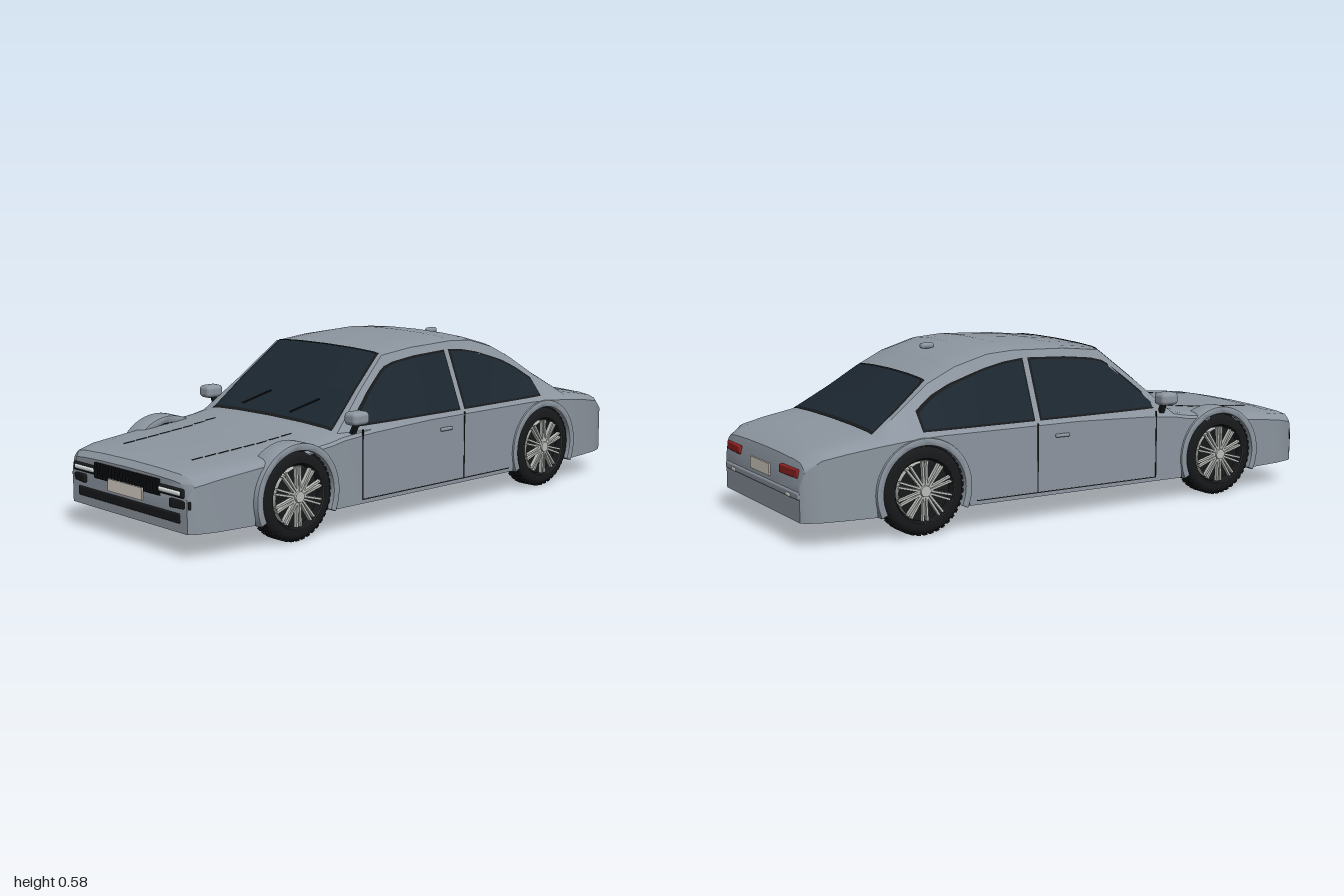
import * as THREE from 'three';
import { toCreasedNormals } from 'three/addons/utils/BufferGeometryUtils.js';
import { RoundedBoxGeometry } from 'three/addons/geometries/RoundedBoxGeometry.js';
import { ParametricGeometry } from 'three/addons/geometries/ParametricGeometry.js';

const mat = (color, side = THREE.FrontSide) => new THREE.MeshStandardMaterial({ color, side });
const paint = mat(0x8c959f), black = mat(0x17191b), glass = mat(0x1c2730, THREE.DoubleSide);
const trim = mat(0x17191b, THREE.DoubleSide), rimMat = mat(0xb9bdb8), plateMat = mat(0xd8d2c8);
const lamp = mat(0xe4eaea), red = mat(0x8e2020);

const FLOOR = 0.08, WHEEL_Y = 0.148, ARCH_R = 0.165, AXLES = [0.6, -0.59];

// Body stations: z, half width, belt height, top half width, top edge height, centre height
const STATIONS = [
  [0.988, 0.31, 0.2, 0.285, 0.233, 0.242], [0.97, 0.325, 0.235, 0.3, 0.25, 0.262],
  [0.9, 0.345, 0.25, 0.32, 0.262, 0.275], [0.75, 0.362, 0.268, 0.335, 0.275, 0.286],
  [0.6, 0.37, 0.283, 0.34, 0.288, 0.298], [0.45, 0.372, 0.3, 0.345, 0.305, 0.317],
  [0.4, 0.373, 0.31, 0.335, 0.318, 0.333], [0.27, 0.373, 0.32, 0.3, 0.435, 0.45],
  [0.14, 0.373, 0.325, 0.272, 0.543, 0.555], [0, 0.373, 0.33, 0.27, 0.557, 0.57],
  [-0.2, 0.373, 0.33, 0.27, 0.563, 0.58], [-0.3, 0.373, 0.33, 0.269, 0.556, 0.573],
  [-0.42, 0.373, 0.33, 0.265, 0.522, 0.54], [-0.52, 0.373, 0.33, 0.264, 0.474, 0.49],
  [-0.63, 0.372, 0.325, 0.288, 0.4, 0.413], [-0.74, 0.37, 0.315, 0.325, 0.33, 0.342],
  [-0.85, 0.358, 0.3, 0.322, 0.311, 0.322], [-0.93, 0.345, 0.285, 0.31, 0.295, 0.306],
  [-0.98, 0.325, 0.25, 0.295, 0.265, 0.275], [-0.993, 0.31, 0.2, 0.28, 0.22, 0.23],
];
const CROWN = [[1, 0], [0.85, 0.5], [0.5, 0.85], [0, 1]];

// Linear lookup in a table whose first column falls
function lookup(table, z) {
  let i = 0;
  while (i < table.length - 2 && table[i + 1][0] > z) i++;
  const a = table[i], b = table[i + 1];
  const t = THREE.MathUtils.clamp((a[0] - z) / (a[0] - b[0]), 0, 1);
  return a.map((v, k) => v + (b[k] - v) * t);
}
function archY(z) {
  const d = Math.min(...AXLES.map(a => Math.abs(z - a)));
  return d < ARCH_R ? WHEEL_Y + Math.sqrt(ARCH_R ** 2 - d * d) : FLOOR;
}
function topY(z, x) {
  const [, , , tw, edge, top] = lookup(STATIONS, z);
  return edge + (top - edge) * lookup(CROWN, Math.abs(x) / tw)[1];
}
function sideX(z, y) {
  const [, w, belt, tw, edge] = lookup(STATIONS, z);
  return y <= belt ? w : w - 0.008 + (tw - w + 0.008) * (y - belt) / (edge - belt);
}

// Closed cross-section with wheel wells cut in
function section(z) {
  const [, w, belt, tw, edge, top] = lookup(STATIONS, z);
  const a = Math.min(archY(z), belt - 0.015);
  const half = [[0.27, FLOOR], [0.27, a], [w, a], [w, (a + belt - 0.01) / 2], [w, belt - 0.01], [w - 0.008, belt],
    ...CROWN.slice(0, 3).map(([f, h]) => [tw * f, edge + (top - edge) * h])];
  return [[0, FLOOR], ...half, [0, top], ...half.slice().reverse().map(([x, y]) => [-x, y])];
}

function bodyGeometry() {
  const zs = STATIONS.map(s => s[0]);
  for (const a of AXLES) {
    for (let i = 0; i <= 20; i++) zs.push(a + Math.cos(i / 20 * Math.PI) * (ARCH_R - 0.0002));
    zs.push(a + ARCH_R + 0.0002, a - ARCH_R - 0.0002);
  }
  zs.sort((a, b) => b - a);
  const rings = zs.map(z => section(z).map(([x, y]) => [x, y, z]));
  const cap = z => rings[0].map(() => [0, 0.15, z]);
  rings.unshift(cap(zs[0]));
  rings.push(cap(zs[zs.length - 1]));
  const n = rings[0].length, index = [];
  for (let i = 0; i < rings.length - 1; i++) for (let j = 0; j < n; j++) {
    const k = (j + 1) % n, a = i * n + j, b = i * n + k, c = a + n, d = b + n;
    index.push(a, c, b, b, c, d);
  }
  const g = new THREE.BufferGeometry();
  g.setAttribute('position', new THREE.Float32BufferAttribute(rings.flat(2), 3));
  g.setIndex(index);
  return toCreasedNormals(g.toNonIndexed(), 0.6);
}

function add(parent, name, geometry, material, x = 0, y = 0, z = 0) {
  const m = new THREE.Mesh(geometry, material);
  m.name = name;
  m.position.set(x, y, z);
  parent.add(m);
  return m;
}
const box = (x, y, z) => new THREE.BoxGeometry(x, y, z);
const rbox = (x, y, z, r) => new RoundedBoxGeometry(x, y, z, 3, r);

// Screen laid over the roof surface, x half width going from h0 at z0 to h1 at z1
const screen = (z0, z1, h0, h1, lift) => new ParametricGeometry((u, v, p) => {
  const z = z0 + (z1 - z0) * v, x = (u * 2 - 1) * (h0 + (h1 - h0) * v);
  p.set(x, topY(z, x) + lift, z);
}, 20, 12);

// Side window between a sill line and a top curve
const sideGlass = (table, s, grow, lift) => new ParametricGeometry((u, v, p) => {
  const z0 = table[0][0], z1 = table[table.length - 1][0], zi = z0 + (z1 - z0) * u;
  const z = zi + grow * (1 - 2 * u), y0 = 0.342 - grow, y1 = lookup(table, zi)[1] + grow;
  const y = y0 + (y1 - y0) * v;
  p.set(s * (sideX(z, y) + lift), y, z);
}, 24, 6);

function makeWheel() {
  const g = new THREE.Group();
  g.name = 'wheel';
  const lathe = pts => new THREE.LatheGeometry(pts.map(p => new THREE.Vector2(...p)), 48).rotateZ(-Math.PI / 2);
  add(g, 'tyre', toCreasedNormals(lathe([[0.1, -0.04], [0.125, -0.04], [0.138, -0.036], [0.144, -0.026],
    [0.144, 0.026], [0.138, 0.036], [0.125, 0.041], [0.106, 0.04], [0.1, 0.03], [0.1, -0.04]]), 0.7), black);
  // Tread blocks
  for (let i = 0; i < 40; i++) for (const s of [1, -1]) {
    const a = (i + s * 0.25) / 40 * Math.PI * 2;
    add(g, 'treadBlock', box(0.026, 0.006, 0.013), black, s * 0.016, Math.cos(a) * 0.1445, Math.sin(a) * 0.1445).rotation.x = a;
  }
  add(g, 'rim', lathe([[0.094, 0.0], [0.094, 0.04], [0.099, 0.045], [0.106, 0.043], [0.107, 0.036], [0.1, 0]]), rimMat);
  add(g, 'brakeDisc', new THREE.CylinderGeometry(0.1, 0.1, 0.03, 32).rotateZ(Math.PI / 2), black);
  add(g, 'hub', new THREE.CylinderGeometry(0.018, 0.024, 0.03, 20).rotateZ(-Math.PI / 2), rimMat, 0.034);
  for (let i = 0; i < 10; i++) {
    const spoke = new THREE.Group();
    spoke.name = 'spoke';
    spoke.rotation.x = i / 10 * Math.PI * 2;
    for (const s of [1, -1]) add(spoke, 'spokeBar', box(0.014, 0.082, 0.007), rimMat, 0.036, 0.057, s * 0.006).rotation.x = s * 0.05;
    g.add(spoke);
  }
  return g;
}

export function createModel() {
  const car = new THREE.Group();
  car.name = 'car';
  add(car, 'body', bodyGeometry(), paint);
  add(car, 'underTray', box(0.5, 0.004, 1.2), black, 0, 0.079, 0);

  // Screens with dark seals
  for (const [name, z0, z1, h0, h1] of [['windscreen', 0.145, 0.395, 0.25, 0.305], ['rearWindow', -0.525, -0.735, 0.235, 0.3]]) {
    const e = Math.sign(z1 - z0) * 0.008;
    add(car, name + 'Seal', screen(z0 - e, z1 + e, h0 + 0.007, h1 + 0.007, 0.003), trim);
    add(car, name, screen(z0, z1, h0, h1, 0.006), glass);
  }
  for (const x of [-0.12, 0.13]) {
    const a = new THREE.Vector3(x - 0.045, topY(0.385, x) + 0.012, 0.385);
    const b = new THREE.Vector3(x + 0.045, topY(0.33, x) + 0.012, 0.33);
    add(car, 'wiper', new THREE.TubeGeometry(new THREE.LineCurve3(a, b), 1, 0.003, 6), black);
  }
  add(car, 'roofAerial', rbox(0.022, 0.02, 0.05, 0.009), paint, 0, 0.562, -0.38);

  const frontGlass = [[0.315, 0.358], [0.23, 0.435], [0.15, 0.5], [0.1, 0.513], [0, 0.524], [-0.145, 0.53]];
  const rearGlass = [[-0.178, 0.53], [-0.25, 0.523], [-0.32, 0.508], [-0.45, 0.466], [-0.52, 0.432], [-0.58, 0.39]];
  const flare = new THREE.Shape();
  flare.absarc(0, 0, 0.168, -0.42, Math.PI + 0.42, false);
  flare.absarc(0, 0, 0.15, Math.PI + 0.42, -0.42, true);
  const flareGeo = toCreasedNormals(new THREE.ExtrudeGeometry(flare, { depth: 0.072, bevelEnabled: true, bevelSize: 0.003,
    bevelThickness: 0.004, bevelSegments: 2, curveSegments: 32 }).rotateY(Math.PI / 2), 0.7);

  for (const s of [1, -1]) {
    // Side glass
    for (const [name, t] of [['frontSideWindow', frontGlass], ['rearSideWindow', rearGlass]]) {
      add(car, name + 'Seal', sideGlass(t, s, 0.007, 0.003), trim);
      add(car, name, sideGlass(t, s, 0, 0.006), glass);
    }
    // Door gaps and handle
    add(car, 'doorGap', box(0.003, 0.235, 0.004), black, s * 0.373, 0.21, 0.32);
    add(car, 'doorGap', box(0.003, 0.235, 0.004), black, s * 0.373, 0.21, -0.165);
    add(car, 'sillGap', box(0.003, 0.003, 0.72), black, s * 0.373, 0.094, -0.04);
    add(car, 'doorHandle', rbox(0.012, 0.012, 0.055, 0.005), paint, s * 0.377, 0.28, -0.07);
    // Wing mirror
    add(car, 'mirror', rbox(0.058, 0.044, 0.07, 0.015), paint, s * 0.381, 0.37, 0.355);
    const arm = add(car, 'mirrorArm', box(0.012, 0.05, 0.02), black, s * 0.366, 0.335, 0.35);
    arm.rotation.z = -s * 0.45;
    // Bonnet crease
    for (let i = 0; i < 8; i++) {
      const z = 0.5 + i * 0.05, x = 0.2 - i * 0.0025;
      add(car, 'bonnetGap', box(0.003, 0.002, 0.042), black, s * x, topY(z, x) + 0.001, z).rotation.x = 0.08;
    }
    // Wheels and arch flares
    for (const z of AXLES) {
      const w = makeWheel();
      w.position.set(s * 0.334, WHEEL_Y, z);
      w.rotation.y = s > 0 ? 0 : Math.PI;
      car.add(w);
      add(car, 'archFlare', flareGeo, paint, s > 0 ? 0.304 : -0.376, WHEEL_Y, z);
    }
    // Front lamps
    add(car, 'headlampHousing', rbox(0.13, 0.03, 0.03, 0.008), black, s * 0.233, 0.204, 0.98);
    add(car, 'headlamp', rbox(0.112, 0.016, 0.03, 0.007), lamp, s * 0.231, 0.204, 0.984);
    const fog = add(car, 'fogLamp', rbox(0.09, 0.028, 0.03, 0.005), black, s * 0.272, 0.169, 0.977);
    fog.rotation.y = s * 0.15;
    // Rear lamps
    add(car, 'tailLamp', rbox(0.125, 0.028, 0.03, 0.004), red, s * 0.232, 0.232, -0.983).rotation.y = -s * 0.06;
    add(car, 'rearMarker', rbox(0.035, 0.012, 0.02, 0.005), rimMat, s * 0.23, 0.158, -0.992);
  }

  // Nose
  add(car, 'grille', box(0.35, 0.052, 0.02), black, 0, 0.206, 0.983);
  for (let i = 0; i < 22; i++) add(car, 'grilleSlat', box(0.006, 0.048, 0.006), black, -0.168 + i * 0.016, 0.206, 0.994);
  add(car, 'lowerIntake', rbox(0.55, 0.032, 0.02, 0.006), black, 0, 0.124, 0.982);
  add(car, 'frontPlate', box(0.185, 0.04, 0.006), plateMat, 0, 0.172, 0.997);
  // Tail
  add(car, 'rearPlate', box(0.16, 0.04, 0.006), plateMat, 0, 0.21, -0.995);
  add(car, 'rearBumper', rbox(0.62, 0.026, 0.02, 0.008), paint, 0, 0.163, -0.988);
  return car;
}
